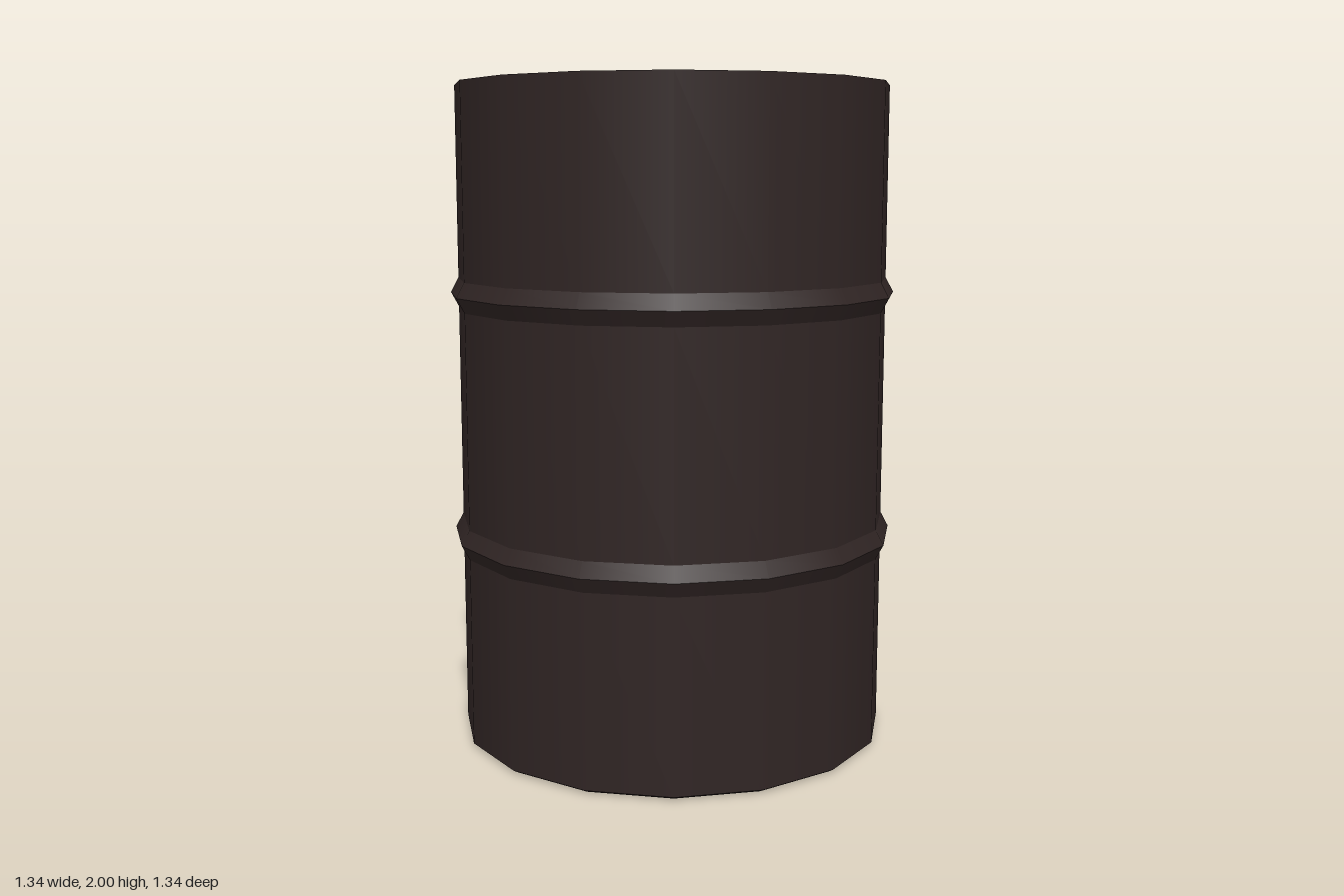
import * as THREE from 'three';
import { mergeGeometries } from 'three/addons/utils/BufferGeometryUtils.js';

const SIDES = 16;

// Revolve a profile one band at a time: smooth around, sharp between bands
function revolve(profile) {
  const bands = [];
  for (let i = 0; i < profile.length - 1; i++) {
    const pair = [profile[i], profile[i + 1]].map(([r, y]) => new THREE.Vector2(r, y));
    bands.push(new THREE.LatheGeometry(pair, SIDES, Math.PI / SIDES));
  }
  return mergeGeometries(bands);
}

export function createModel() {
  const group = new THREE.Group();
  group.name = 'barrel';

  const darkMetal = new THREE.MeshStandardMaterial({ color: 0x302524 });
  darkMetal.name = 'dark brown metal';

  const add = (name, profile) => {
    const mesh = new THREE.Mesh(revolve(profile), darkMetal);
    mesh.name = name;
    group.add(mesh);
  };

  const outer = 0.66, inner = 0.634, ridge = 0.684, floor = 0.03;

  // Underside with a tiny edge chamfer
  add('base', [[0, 0], [0.643, 0], [outer, 0.01]]);

  // Outer wall with two pointed reinforcing hoops
  const wall = [[outer, 0.01]];
  for (const y of [0.633, 1.375]) {
    wall.push([outer, y - 0.045], [ridge, y], [outer, y + 0.045]);
  }
  wall.push([outer, 2]);
  add('outerWall', wall);

  // Rim, open interior and floor
  add('rim', [[outer, 2], [inner, 2]]);
  add('innerWall', [[inner, 2], [inner, floor]]);
  add('floor', [[inner, floor], [0, floor]]);

  return group;
}
